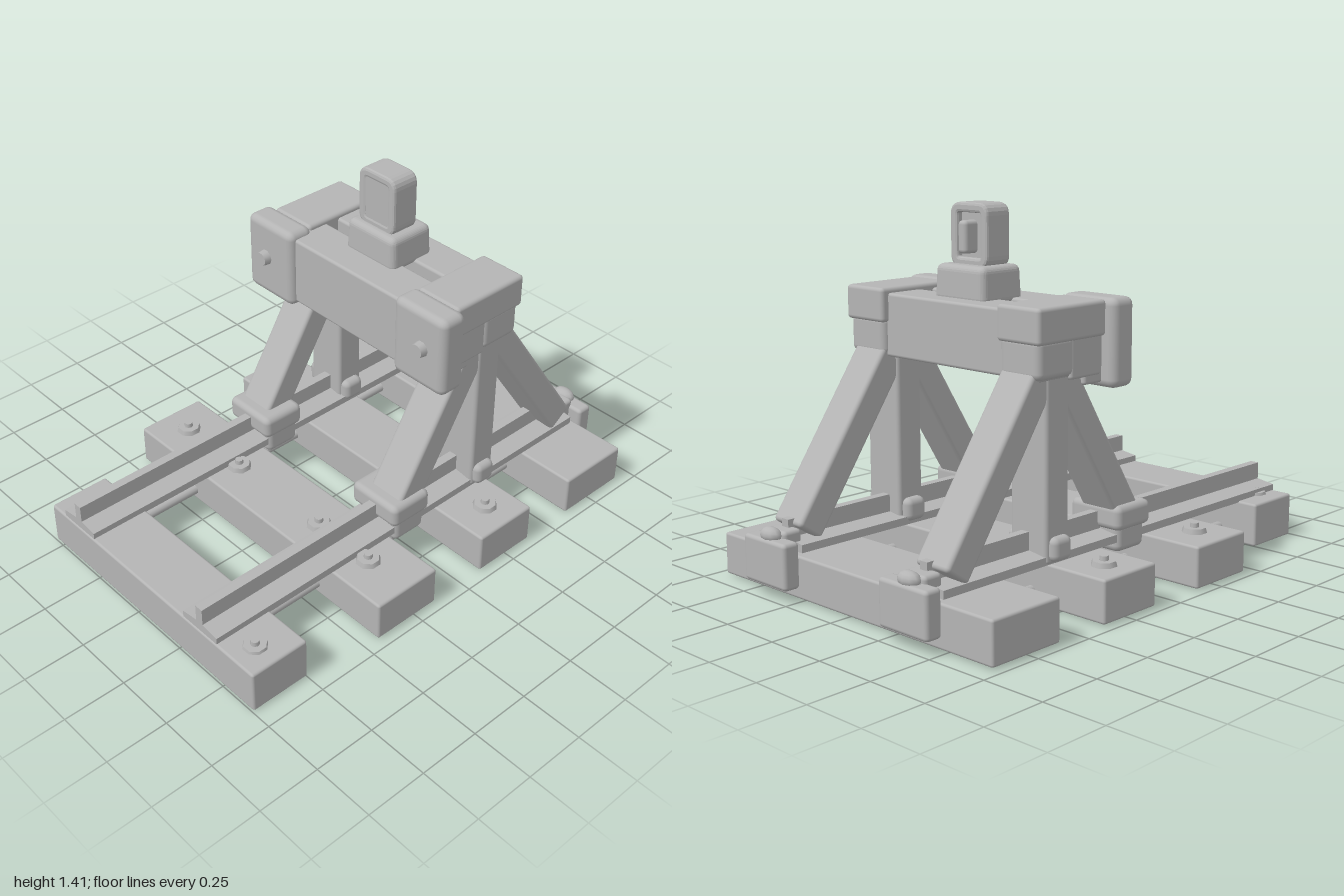
import * as THREE from 'three';
import { RoundedBoxGeometry } from 'three/addons/geometries/RoundedBoxGeometry.js';

export function createModel() {
  const model = new THREE.Group();
  model.name = 'railBufferStop';
  const steel = new THREE.MeshStandardMaterial({ color: 0xb4b4b4 });
  steel.name = 'grey';

  function add(name, geometry, x = 0, y = 0, z = 0) {
    const mesh = new THREE.Mesh(geometry, steel);
    mesh.name = name;
    mesh.position.set(x, y, z);
    model.add(mesh);
    return mesh;
  }

  // Softly bevelled block given by its limits on each axis
  function block(name, [x0, x1], [y0, y1], [z0, z1], r = 0.012) {
    return add(name, new RoundedBoxGeometry(x1 - x0, y1 - y0, z1 - z0, 2, r),
      (x0 + x1) / 2, (y0 + y1) / 2, (z0 + z1) / 2);
  }

  // Block on both sides; z limits are given for the +z side
  function pair(name, x, y, [z0, z1], r) {
    block(name, x, y, [z0, z1], r);
    block(name, x, y, [-z1, -z0], r);
  }

  // Square bar between two points in the side plane
  function brace(name, ax, ay, bx, by, z) {
    const length = Math.hypot(bx - ax, by - ay);
    const bar = add(name, new RoundedBoxGeometry(length, 0.12, 0.16, 2, 0.015),
      (ax + bx) / 2, (ay + by) / 2, z);
    bar.rotation.z = Math.atan2(by - ay, bx - ax);
  }

  // Eight-sided plate with a bolt head
  function bolt(x, y, z) {
    add('boltPlate', new THREE.CylinderGeometry(0.044, 0.05, 0.02, 8).rotateY(Math.PI / 8), x, y + 0.008, z);
    add('boltHead', new THREE.CylinderGeometry(0.016, 0.018, 0.02, 8), x, y + 0.025, z);
  }

  // Sleepers
  block('sleeper', [-0.995, -0.745], [0, 0.175], [-0.55, 0.665], 0.01);
  for (const x of [[-0.44, -0.145], [0.1, 0.38], [0.605, 0.925]]) {
    block('sleeper', x, [0.005, 0.167], [-0.715, 0.71], 0.01);
  }
  for (const [x, z] of [[-0.895, -0.44], [-0.895, 0.56], [-0.3, -0.58], [-0.3, -0.25],
    [-0.3, 0.23], [-0.3, 0.505], [0.25, -0.6], [0.25, 0.585]]) bolt(x, 0.168, z);

  // Rail section: wide foot and narrow upright head
  const section = new THREE.Shape([
    [-0.095, 0.17], [0.095, 0.17], [0.095, 0.2], [0.018, 0.212],
    [0.018, 0.28], [-0.018, 0.28], [-0.018, 0.212], [-0.095, 0.2],
  ].map(([z, y]) => new THREE.Vector2(z, y)));

  for (const s of [1, -1]) {
    const rail = new THREE.ExtrudeGeometry(section, { depth: 1.89, bevelEnabled: false });
    rail.rotateY(Math.PI / 2);
    add('rail', rail, -0.99, 0, s * 0.37);

    // Tie rod under each rail
    add('tieRod', new THREE.CylinderGeometry(0.02, 0.02, 1.5, 12).rotateZ(Math.PI / 2), -0.03, 0.052, s * 0.37);

    // Sloping braces
    brace('rearBrace', -0.075, 0.23, 0.33, 0.88, s * 0.385);
    brace('frontBrace', 0.835, 0.225, 0.38, 0.88, s * 0.385);

    // Bolt on each beam plate
    add('plateBolt', new THREE.CylinderGeometry(0.028, 0.034, 0.04, 10).rotateZ(Math.PI / 2), 0.012, 0.94, s * 0.43);
    // Knob on each stop block
    add('stopKnob', new THREE.SphereGeometry(0.05, 10, 8).scale(0.65, 0.6, 1), 0.965, 0.235, s * 0.37);
  }

  // Stop blocks at the rail ends
  pair('stopBlock', [0.93, 1.0], [0.05, 0.225], [0.25, 0.49], 0.015);
  pair('stopBracket', [0.87, 0.95], [0.17, 0.25], [0.31, 0.43], 0.015);

  // Clamps at the feet of the braces and posts
  pair('clampTop', [-0.15, 0.04], [0.215, 0.31], [0.25, 0.49], 0.025);
  pair('clampBase', [-0.13, 0.025], [0.13, 0.24], [0.265, 0.475], 0.025);
  pair('postFoot', [0.3, 0.395], [0.18, 0.27], [0.26, 0.5], 0.025);

  // Upright posts
  pair('post', [0.29, 0.41], [0.17, 0.93], [0.295, 0.47], 0.015);

  // Two cross beams
  block('rearBeam', [0.045, 0.225], [0.79, 1.07], [-0.48, 0.48], 0.012);
  block('frontBeam', [0.28, 0.45], [0.83, 1.07], [-0.475, 0.475], 0.012);

  // Brackets, caps and plates on the beam ends
  pair('postBracket', [0.285, 0.47], [0.835, 0.98], [0.3, 0.49], 0.025);
  pair('beamBracket', [0.14, 0.3], [0.82, 0.98], [0.3, 0.485], 0.012);
  pair('beamCap', [0.13, 0.48], [0.96, 1.09], [0.295, 0.5], 0.015);
  pair('beamPlate', [0.02, 0.135], [0.77, 1.095], [0.28, 0.54], 0.03);

  // Lamp pedestal, flared at its foot
  const pedestal = new RoundedBoxGeometry(0.21, 0.14, 0.26, 3, 0.025);
  const p = pedestal.attributes.position;
  for (let i = 0; i < p.count; i++) {
    const k = 1 - 0.35 * (p.getY(i) + 0.07);
    p.setX(i, p.getX(i) * k);
    p.setZ(i, p.getZ(i) * k);
  }
  pedestal.computeVertexNormals();
  add('lampPedestal', pedestal, 0.27, 1.12, 0);

  // Rounded rectangle for the lamp frame
  function roundRect(path, w, h, r) {
    path.moveTo(-w + r, -h);
    path.lineTo(w - r, -h).quadraticCurveTo(w, -h, w, -h + r);
    path.lineTo(w, h - r).quadraticCurveTo(w, h, w - r, h);
    path.lineTo(-w + r, h).quadraticCurveTo(-w, h, -w, h - r);
    path.lineTo(-w, -h + r).quadraticCurveTo(-w, -h, -w + r, -h);
    return path;
  }
  const frameShape = roundRect(new THREE.Shape(), 0.085, 0.108, 0.035);
  frameShape.holes.push(roundRect(new THREE.Path(), 0.068, 0.092, 0.02));
  const frame = new THREE.ExtrudeGeometry(frameShape, {
    depth: 0.1, bevelThickness: 0.01, bevelSize: 0.01, bevelSegments: 2, curveSegments: 5,
  });
  add('lampFrame', frame.rotateY(Math.PI / 2), 0.21, 1.295, 0);
  block('lampBack', [0.203, 0.295], [1.2, 1.39], [-0.07, 0.07], 0.01);
  block('lampLens', [0.28, 0.355], [1.23, 1.35], [-0.022, 0.022], 0.015);

  return model;
}
